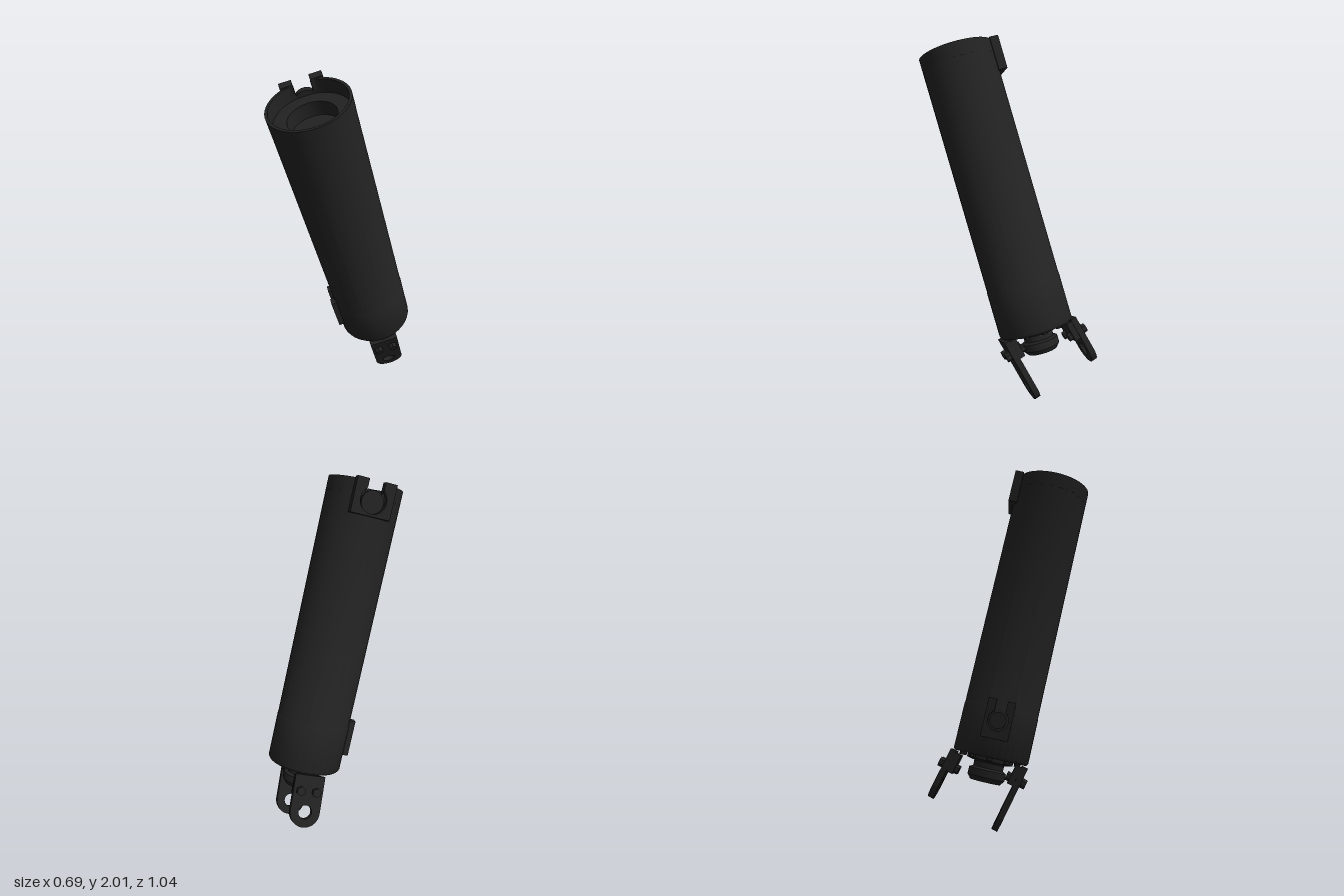
import * as THREE from 'three';
import { toCreasedNormals } from 'three/addons/utils/BufferGeometryUtils.js';

const material = new THREE.MeshStandardMaterial({ color: 0x222222, side: THREE.DoubleSide });

function add(parent, name, geometry, x = 0, y = 0, z = 0) {
  const mesh = new THREE.Mesh(toCreasedNormals(geometry, 0.6), material);
  mesh.name = name;
  mesh.position.set(x, y, z);
  parent.add(mesh);
  return mesh;
}

const lathe = (points, segments = 36) =>
  new THREE.LatheGeometry(points.map(([r, y]) => new THREE.Vector2(r, y)), segments);

// Flat part centred on its own thickness
function plate(shape, depth) {
  const g = new THREE.ExtrudeGeometry(shape, { depth, bevelEnabled: false, curveSegments: 20 });
  return g.translate(0, 0, -depth / 2);
}

const disc = (r, depth, sides) => new THREE.CylinderGeometry(r, r, depth, sides).rotateX(Math.PI / 2);

// Clevis leg: rounded eye at the origin, straight sides up to the given height
function legShape(height) {
  const r = 0.085;
  const s = new THREE.Shape();
  s.moveTo(r, height);
  s.lineTo(r, 0);
  s.absarc(0, 0, r, 0, -Math.PI, true);
  s.lineTo(-r, height);
  s.closePath();
  s.holes.push(new THREE.Path().absarc(0, 0, 0.038, 0, Math.PI * 2, false));
  return s;
}

// Latch plate with a round window that opens through the top edge
function latchShape(w, bottom, top, r, slot) {
  const a = Math.acos(slot / r);
  const s = new THREE.Shape();
  s.moveTo(-w, bottom);
  s.lineTo(w, bottom);
  s.lineTo(w, top);
  s.lineTo(slot, top);
  s.lineTo(slot, r * Math.sin(a));
  s.absarc(0, 0, r, a, Math.PI - a, true);
  s.lineTo(-slot, top);
  s.lineTo(-w, top);
  s.closePath();
  return s;
}

export function createModel() {
  const model = new THREE.Group();
  model.name = 'cylinderAssembly';
  const body = new THREE.Group();
  body.name = 'leaningCylinder';
  model.add(body);

  // Tube with lower collar, shouldered seat and bore near the top
  add(body, 'tube', lathe([
    [0, 0.01], [0.19, 0.01], [0.195, 0], [0.205, 0], [0.213, 0.012], [0.213, 0.27], [0.211, 0.273],
    [0.211, 1.56], [0.125, 1.56], [0.125, 1.48], [0, 1.48]]));

  // Thin upper rim, notched at the back
  const gap = 0.22;
  const rim = new THREE.Shape();
  rim.absarc(0, 0, 0.211, Math.PI / 2 + gap, Math.PI * 2.5 - gap, false);
  rim.absarc(0, 0, 0.196, Math.PI * 2.5 - gap, Math.PI / 2 + gap, true);
  rim.closePath();
  add(body, 'rim', new THREE.ExtrudeGeometry(rim, { depth: 0.08, bevelEnabled: false, curveSegments: 36 })
    .rotateX(-Math.PI / 2), 0, 1.558, 0);

  // Back latch around the notch
  add(body, 'latchPlate', plate(latchShape(0.11, -0.085, 0.105, 0.072, 0.045), 0.05), 0, 1.54, -0.21);
  add(body, 'latchButton', disc(0.062, 0.03, 24), 0, 1.53, -0.207);

  // Side access plate near the bottom
  const side = new THREE.Group();
  side.name = 'sidePlate';
  side.rotation.y = -Math.PI / 2;
  body.add(side);
  add(side, 'sideFrame', plate(latchShape(0.075, -0.1, 0.11, 0.055, 0.03), 0.04), 0, 0.2, 0.211);
  add(side, 'sideButton', disc(0.045, 0.035, 20), 0, 0.2, 0.206);

  // Stepped end boss with a recessed centre
  add(body, 'endBoss', lathe([
    [0, -0.125], [0.03, -0.125], [0.03, -0.1], [0.055, -0.1], [0.055, -0.135], [0.085, -0.135],
    [0.105, -0.11], [0.105, -0.07], [0.085, -0.06], [0.085, -0.03], [0.13, -0.02], [0.13, 0.012]], 28));

  // Ring of bolts on the end face
  for (let i = 0; i < 10; i++) {
    const a = (i / 10) * Math.PI * 2;
    add(body, 'endBolt', new THREE.CylinderGeometry(0.017, 0.017, 0.03, 6),
      Math.cos(a) * 0.162, -0.002, Math.sin(a) * 0.162);
  }

  // Clevis tilted against the tube, with one long and one short leg
  const clevis = new THREE.Group();
  clevis.name = 'clevis';
  clevis.position.set(0, -0.248, -0.061);
  clevis.rotation.x = 0.237;
  body.add(clevis);
  for (const [name, s, height, boltY] of [['frontLeg', 1, 0.295, 0.21], ['backLeg', -1, 0.205, 0.115]]) {
    const leg = new THREE.Group();
    leg.name = name;
    leg.position.z = s * 0.196;
    clevis.add(leg);
    add(leg, 'legPlate', plate(legShape(height), 0.034));
    add(leg, 'legLug', new THREE.BoxGeometry(0.16, 0.11, 0.035), 0, height - 0.065, -s * 0.033);
    for (const x of [-0.045, 0.045]) {
      add(leg, 'legBolt', disc(0.026, 0.03, 6), x, boltY, s * 0.03);
      add(leg, 'legNut', disc(0.024, 0.025, 6), x, boltY, -s * 0.06);
    }
  }

  // Lean the whole cylinder into place
  const up = new THREE.Vector3(-0.166, 0.94, 0.298).normalize();
  const across = new THREE.Vector3().crossVectors(up, new THREE.Vector3(0.383, -0.217, 0.898)).normalize();
  const front = new THREE.Vector3().crossVectors(across, up);
  body.quaternion.setFromRotationMatrix(new THREE.Matrix4().makeBasis(across, up, front));
  body.position.set(0.135, 0.385, -0.175);
  return model;
}
